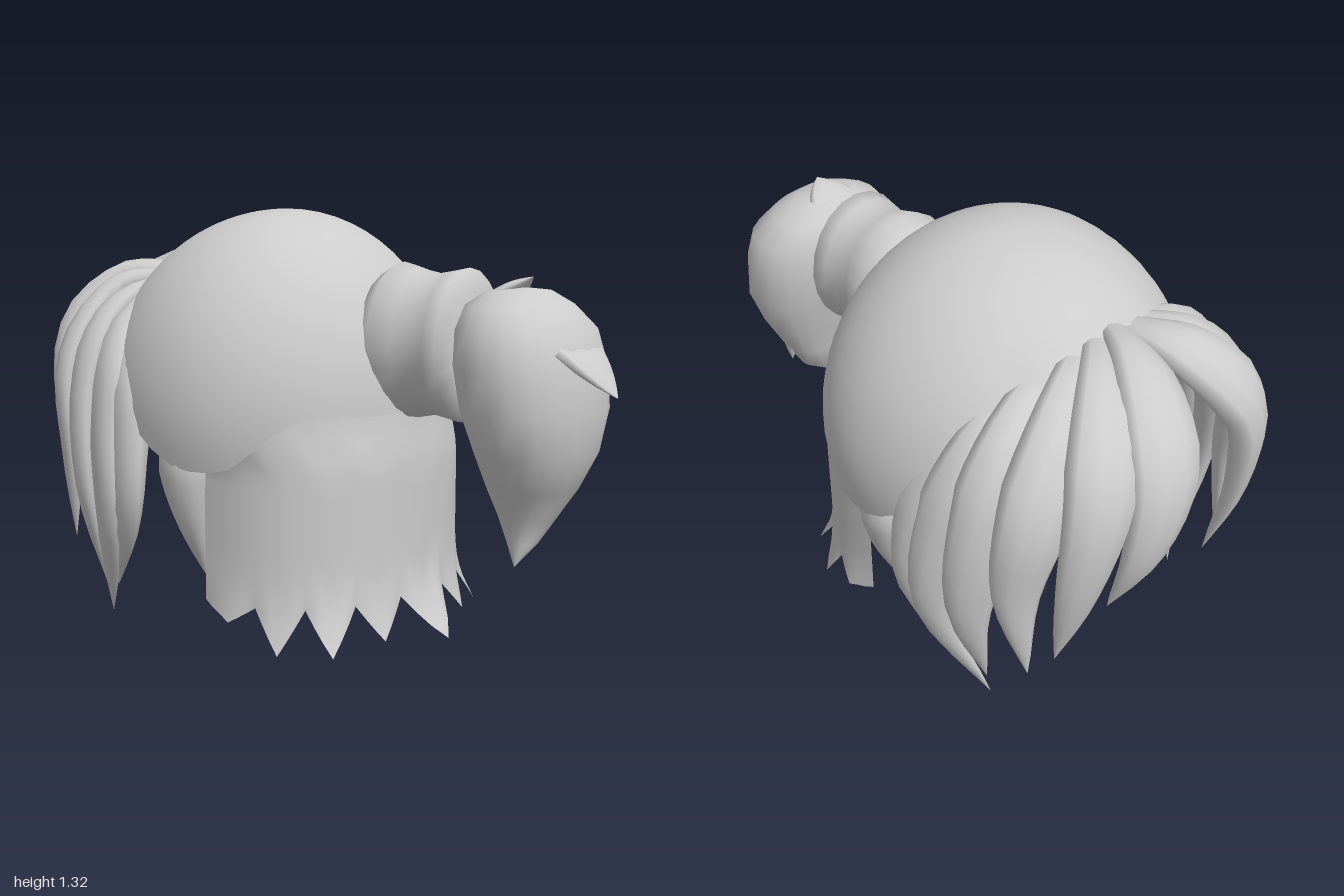
import * as THREE from 'three';

const V = (a) => new THREE.Vector3(...a);
const { sin, cos, PI, abs, sign, pow, min, max } = Math;
const { smoothstep, lerp } = THREE.MathUtils;
const spow = (n, e) => sign(n) * pow(abs(n), e);

// Surface from a rule fn(u, v) -> [x, y, z]; "closed" welds it around u
function surface(nu, nv, closed, fn) {
  const pos = [], index = [];
  const cols = closed ? nu : nu + 1;
  for (let j = 0; j <= nv; j++)
    for (let i = 0; i < cols; i++) pos.push(...fn(i / nu, j / nv));
  for (let j = 0; j < nv; j++)
    for (let i = 0; i < nu; i++) {
      const a = j * cols + i, b = j * cols + ((i + 1) % cols);
      index.push(a, b, a + cols, b, b + cols, a + cols);
    }
  const g = new THREE.BufferGeometry();
  g.setAttribute('position', new THREE.Float32BufferAttribute(pos, 3));
  g.setIndex(index);
  g.computeVertexNormals();
  return g;
}

// Tapered, flattened lock swept along a curve, its flat side facing away from center
function lock(points, width, thick, center = [0, 0.75, -0.2]) {
  const curve = new THREE.CatmullRomCurve3(points.map(V));
  const c = V(center);
  return surface(10, 16, true, (u, v) => {
    const p = curve.getPoint(v), t = curve.getTangent(v);
    const out = p.clone().sub(c);
    out.addScaledVector(t, -out.dot(t)).normalize();
    const side = new THREE.Vector3().crossVectors(out, t);
    const s = min(1, 0.35 + 1.5 * v) * (1 - pow(v, 2.7));
    const a = u * 2 * PI;
    p.addScaledVector(side, cos(a) * width * s).addScaledVector(out, sin(a) * thick * s);
    return p.toArray();
  });
}

export function createModel() {
  const group = new THREE.Group();
  const hair = new THREE.MeshStandardMaterial({ color: 0xcccccc, side: THREE.DoubleSide });
  hair.name = 'hair grey';
  const add = (name, geometry) => {
    const m = new THREE.Mesh(geometry, hair);
    m.name = name;
    group.add(m);
  };

  // Crown: ellipsoid shell cut away at the face (-z), lowest above the ears
  add('crown', surface(48, 16, true, (u, v) => {
    const a = u * 2 * PI, ca = cos(a);
    const low = 1.5 + 0.35 * smoothstep(-ca, -0.6, 0.1) - 0.27 * smoothstep(-ca, 0.3, 0.75);
    const edge = ca > 0.7 ? min(low, Math.asin(min(1, 0.69 / ca))) : low;
    const th = v * edge;
    return [0.575 * sin(th) * sin(a), 0.72 + 0.61 * cos(th),
      -0.17 - (ca > 0 ? 0.6 : 0.52) * sin(th) * ca];
  }));

  // Hanging back hair: U-shaped sheet flowing out of the crown to a jagged, flared hem
  const teeth = 9;
  const tipY = [0.01, 0.04, 0.02, 0.02, 0.1], tipFlare = [0.24, 0.1, 0.15, 0.08, 0.04];
  add('backHair', surface(teeth * 6, 16, false, (u, v) => {
    const phi = (u - 0.5) * 2 * 1.66;
    const tooth = 1 - 2 * abs(((u * teeth) % 1) - 0.5);
    const k = min(4, Math.round(abs(u - 0.5) * teeth));
    const y = lerp(0.74, lerp(0.15, tipY[k], tooth), v);
    const r = 1 + pow(max(0, v - 0.7) / 0.3, 2) * tooth * tipFlare[k];
    const blend = smoothstep(v, 0, 0.32);
    return [lerp(0.565 * sin(phi), 0.49 * spow(sin(phi), 0.88) * r, blend), y,
      lerp(-0.17 + 0.515 * cos(phi), -0.05 + 0.415 * spow(cos(phi), 0.88) * r, blend)];
  }));

  // Gathered band between crown and ponytail
  const band = [[0.1, 0.18], [0.18, 0.24], [0.205, 0.29], [0.188, 0.36], [0.178, 0.42],
    [0.185, 0.47], [0.193, 0.52], [0.15, 0.56], [0, 0.57]];
  const bandGeo = new THREE.LatheGeometry(band.map((p) => new THREE.Vector2(...p)), 20);
  bandGeo.rotateX(PI / 2).scale(1, 1.2, 1).translate(0, 0.92, 0);
  add('hairBand', bandGeo);

  // Ponytail: stacked rings [y, xMin, xMax, zMin, zMax]
  const rings = [[1.1, 0, 0, 0.69, 0.69], [1.09, -0.11, 0.11, 0.6, 0.77], [1.05, -0.19, 0.19, 0.55, 0.83],
    [0.98, -0.25, 0.26, 0.53, 0.89], [0.88, -0.27, 0.28, 0.53, 0.92], [0.75, -0.26, 0.28, 0.55, 0.93],
    [0.62, -0.21, 0.23, 0.59, 0.91], [0.52, -0.14, 0.18, 0.61, 0.86], [0.43, -0.085, 0.13, 0.64, 0.8],
    [0.36, -0.07, 0.03, 0.68, 0.77], [0.29, -0.06, -0.06, 0.72, 0.72]];
  add('ponytail', surface(20, rings.length - 1, true, (u, v) => {
    const [y, x0, x1, z0, z1] = rings[Math.round(v * (rings.length - 1))];
    const a = u * 2 * PI;
    return [(x0 + x1) / 2 + (x1 - x0) / 2 * spow(sin(a), 0.93), y,
      (z0 + z1) / 2 + (z1 - z0) / 2 * spow(cos(a), 0.93)];
  }));
  add('ponytailTopTuft', lock([[0, 1.0, 0.58], [0, 1.08, 0.65], [0, 1.13, 0.73]], 0.11, 0.03, [0, 0.7, 0.8]));
  add('ponytailBackTuft', lock([[0, 1.0, 0.78], [0, 0.92, 0.88], [0, 0.8, 1.0]], 0.17, 0.03, [0, 0.75, 0.7]));
  add('ponytailLowTuft', lock([[0.1, 0.75, 0.77], [0.14, 0.6, 0.76], [0.16, 0.45, 0.74]], 0.08, 0.05, [0, 0.75, 0.7]));

  // Fringe locks of one side, from the parting to the ear: path, half width
  const fringe = [
    [[[-0.04, 1.12, -0.51], [0.16, 1.11, -0.72], [0.3, 0.92, -0.85], [0.35, 0.6, -0.84], [0.34, 0.25, -0.76]], 0.125],
    [[[0, 1.11, -0.51], [0.25, 1.07, -0.67], [0.42, 0.84, -0.73], [0.46, 0.55, -0.71], [0.43, 0.24, -0.74]], 0.125],
    [[[0.1, 1.1, -0.5], [0.35, 1.01, -0.59], [0.47, 0.8, -0.61], [0.52, 0.45, -0.58], [0.44, 0.1, -0.58]], 0.125],
    [[[0.2, 1.08, -0.49], [0.4, 0.95, -0.52], [0.5, 0.7, -0.49], [0.54, 0.37, -0.46], [0.42, 0.01, -0.58]], 0.125],
    [[[0.3, 1.02, -0.44], [0.43, 0.88, -0.45], [0.51, 0.66, -0.39], [0.54, 0.4, -0.38], [0.46, 0.12, -0.51]], 0.115],
    [[[0.49, 0.8, -0.2], [0.5, 0.6, -0.18], [0.48, 0.42, -0.17], [0.42, 0.2, -0.16]], 0.095],
  ];
  for (const s of [1, -1])
    fringe.forEach(([path, w], i) => {
      const pts = path.map(([x, y, z], j) => {
        // both sides fan out of a parting slightly off centre
        const shift = s < 0 && i < 2 && j === 0 ? -0.14 : 0;
        return [x * s + shift, y, z];
      });
      add((s > 0 ? 'left' : 'right') + (i < 5 ? 'FringeLock' + (i + 1) : 'EarLock'), lock(pts, w, 0.07));
    });

  // Foremost lock, swept over the forehead
  add('frontLock', lock([[-0.08, 1.13, -0.51], [0.04, 1.13, -0.75], [0.13, 0.94, -0.915],
    [0.19, 0.7, -0.925], [0.22, 0.45, -0.84]], 0.135, 0.07));

  return group;
}
